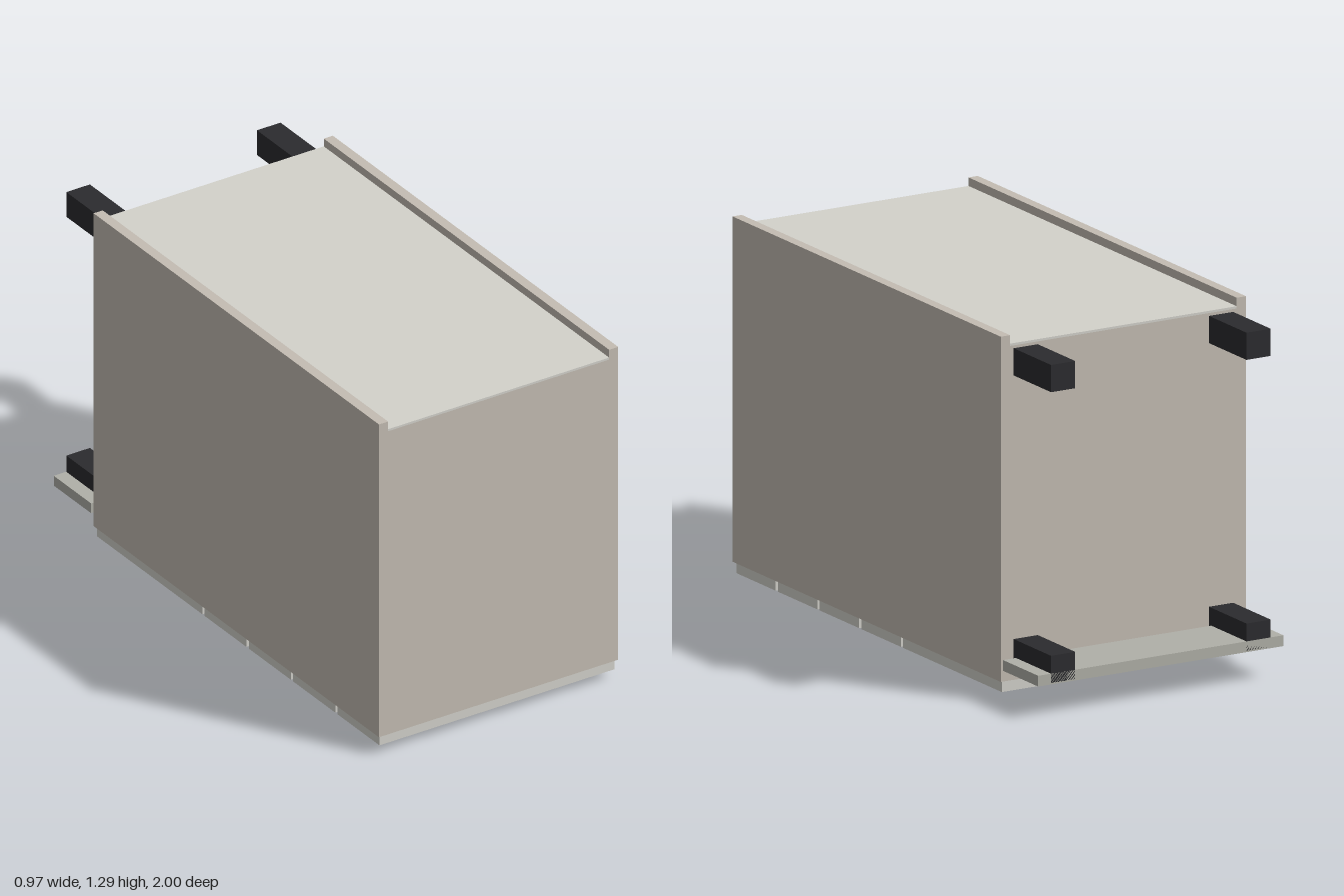
import * as THREE from 'three';

const material = (color) => new THREE.MeshStandardMaterial({ color });

export function createModel() {
  const model = new THREE.Group();
  const body = material(0xc4bdb3);
  const panel = material(0xd3d2cb);
  const plinthGrey = material(0xb0b0a8);
  const handleGrey = material(0x85858a);
  const black = material(0x2b2b2e);

  // Box given by its extents along each axis
  function box(name, mat, [x0, x1], [y0, y1], [z0, z1]) {
    const mesh = new THREE.Mesh(new THREE.BoxGeometry(x1 - x0, y1 - y0, z1 - z0), mat);
    mesh.position.set((x0 + x1) / 2, (y0 + y1) / 2, (z0 + z1) / 2);
    mesh.name = name;
    model.add(mesh);
  }

  // Cabinet lying on its drawer fronts: its top faces +z, its feet point to -z
  const W = 0.487, IN = 0.45;
  box('leftSide', body, [IN, W], [0.072, 1.29], [-0.755, 1]);
  box('rightSide', body, [-W, -IN], [0.072, 1.29], [-0.755, 1]);
  box('cabinetTop', body, [-IN, IN], [0.072, 1.252], [0.963, 1]);
  box('cabinetBottom', body, [-IN, IN], [0.072, 1.252], [-0.755, -0.718]);
  box('backPanel', panel, [-IN, IN], [1.252, 1.26], [-0.755, 1]);

  // Four small drawers and one deep one: front extents and handle position in z
  const drawers = [
    [0.732, 0.99, 0.863],
    [0.459, 0.718, 0.59],
    [0.186, 0.445, 0.317],
    [-0.087, 0.172, 0.044],
    [-0.747, -0.1, -0.282],
  ];
  for (const [z0, z1, zh] of drawers) {
    box('drawerFront', panel, [-0.478, 0.478], [0.033, 0.072], [z0, z1]);
    box('drawerHandle', handleGrey, [-0.118, 0.118], [0, 0.033], [zh - 0.014, zh + 0.014]);
  }

  // Feet at the four corners of the cabinet base
  for (const side of [-1, 1]) {
    const x = side * 0.388;
    for (const y of [0.168, 1.194]) {
      box('foot', black, [x - 0.048, x + 0.048], [y - 0.048, y + 0.048], [-1, -0.755]);
    }
  }

  // Plinth board across the front feet
  box('plinth', plinthGrey, [-W, W], [0.115, 0.153], [-1, -0.77]);

  return model;
}
